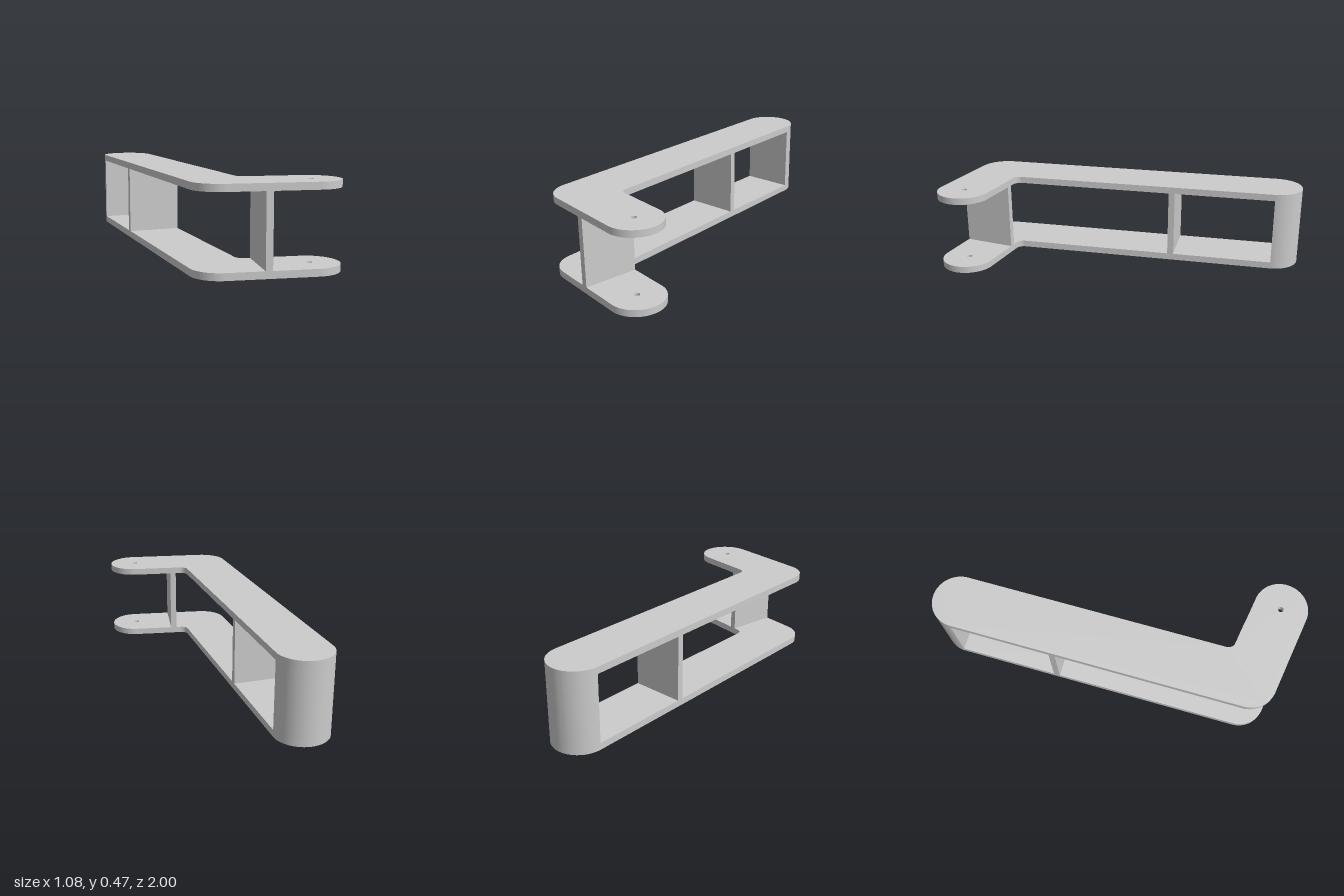
import * as THREE from 'three';
import { toCreasedNormals } from 'three/addons/utils/BufferGeometryUtils.js';

const HEIGHT = 0.468, PLATE = 0.039, R = 0.155, FILLET = 0.045, RIB = 0.037;
const LEAN = THREE.MathUtils.degToRad(10);
// Pivot points in plan (plan y = -z)
const tip = new THREE.Vector2(-0.385, 0.845);
const foot = new THREE.Vector2(0.385, -0.845);
const corner = new THREE.Vector2(tip.x + 1.69 * Math.tan(LEAN), -0.845);

export function createModel() {
  const group = new THREE.Group();
  const material = new THREE.MeshStandardMaterial({ color: 0xcccccc });

  const add = (name, geometry, x, y, z) => {
    const mesh = new THREE.Mesh(geometry, material);
    mesh.name = name;
    mesh.position.set(x, y, z);
    group.add(mesh);
    return mesh;
  };

  // Extrude a plan shape upwards
  const extrude = (shape, depth) => {
    const geometry = new THREE.ExtrudeGeometry(shape, { depth, bevelEnabled: false, curveSegments: 24 });
    geometry.rotateX(-Math.PI / 2);
    return toCreasedNormals(geometry, 0.5);
  };

  // Angled side plate: rounded ends, outer corner and inner fillet, pin hole
  const plate = new THREE.Shape();
  plate.absarc(corner.x, corner.y, R, Math.PI + LEAN, Math.PI * 1.5, false);
  plate.absarc(foot.x, foot.y, R, -Math.PI / 2, Math.PI / 2, false);
  plate.absarc(
    corner.x + (R + FILLET) * Math.tan(Math.PI / 4 - LEAN / 2), corner.y + R + FILLET,
    FILLET, Math.PI * 1.5, Math.PI + LEAN, true);
  plate.absarc(tip.x, tip.y, R, LEAN, Math.PI + LEAN, false);
  plate.closePath();
  const hole = new THREE.Path();
  hole.absarc(0.38, foot.y, 0.016, 0, Math.PI * 2, true);
  plate.holes.push(hole);

  const plateGeometry = extrude(plate, PLATE);
  add('lowerPlate', plateGeometry, 0, 0, 0);
  add('upperPlate', plateGeometry, 0, HEIGHT - PLATE, 0);

  // Solid half-round block joining the plates at the arm tip
  const half = new THREE.Shape();
  half.absarc(tip.x, tip.y, R, LEAN, Math.PI + LEAN, false);
  half.closePath();
  add('endBlock', extrude(half, HEIGHT - 2 * PLATE), 0, PLATE, 0);

  // Cross ribs between the plates
  const ribHeight = HEIGHT - 2 * PLATE;
  const armZ = -0.247;
  const armRib = add('armRib', new THREE.BoxGeometry(2 * R, ribHeight, RIB),
    tip.x + (armZ + tip.y) * Math.tan(LEAN), HEIGHT / 2, armZ);
  armRib.rotation.y = LEAN;
  add('footRib', new THREE.BoxGeometry(RIB, ribHeight, 2 * R), 0.129, HEIGHT / 2, -foot.y);

  return group;
}
